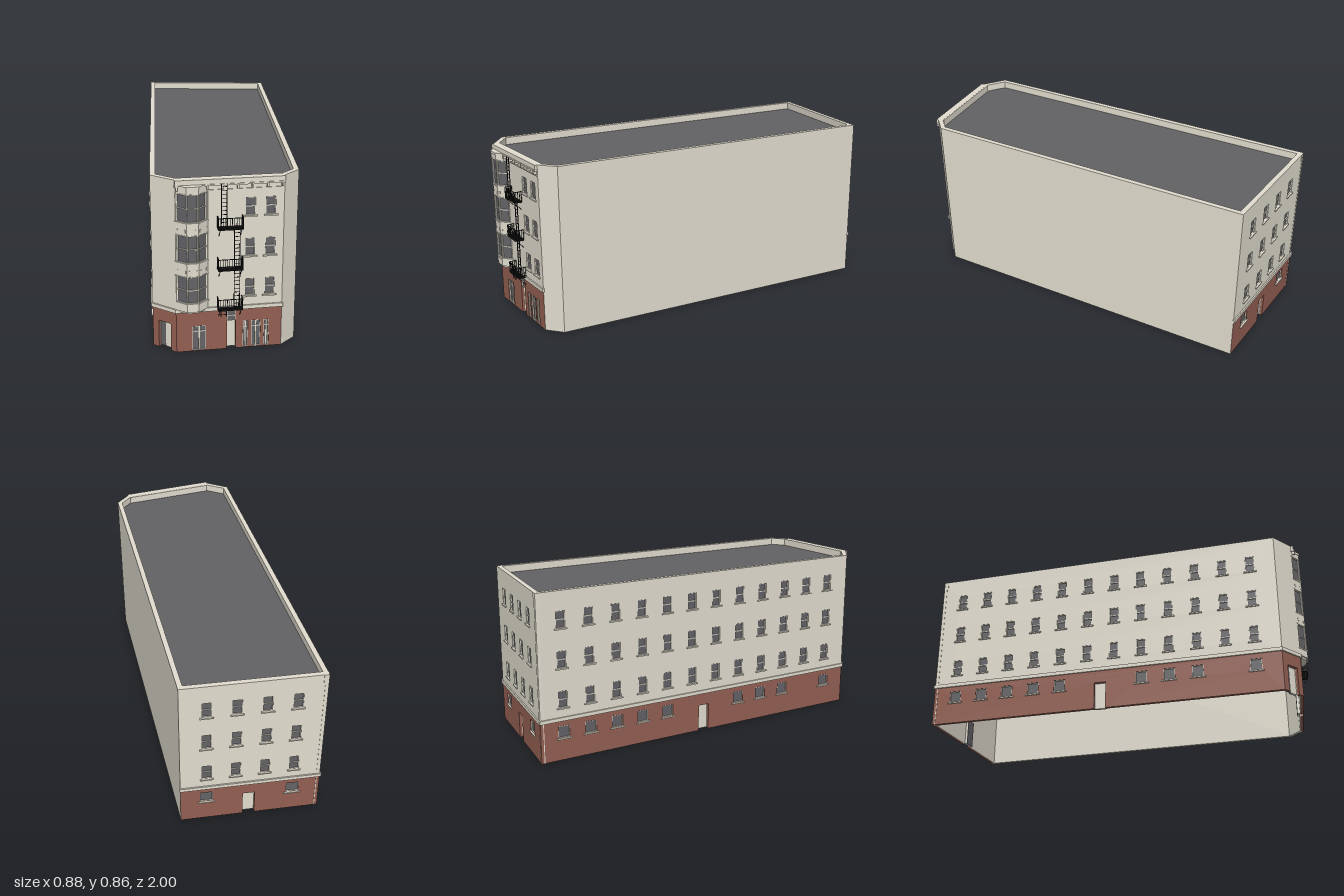
import * as THREE from 'three';

const mat = (name, color) => Object.assign(new THREE.MeshStandardMaterial({ color }), { name });
const M = {
  stone: mat('stone', 0xe2ddcf),
  brick: mat('brick', 0x935f52),
  glass: mat('glass', 0x636367),
  roof: mat('roofing', 0x626264),
  iron: mat('iron', 0x161616),
};

// Plan corners [x, z] and main heights
const A = [-0.26, -0.99], B = [0.433, -0.868], C = [0.255, 0.892];
const D = [0.175, 0.958], E = [-0.328, 0.958], F = [-0.43, 0.868];
const H = 0.863, BASE = 0.209, ROOF = 0.825, T = 0.014;
const FLOORS = [0.275, 0.478, 0.678];

function add(parent, name, geo, material) {
  const m = new THREE.Mesh(geo, material);
  m.name = name;
  parent.add(m);
  return m;
}

// Box given by its min and max corners
function box(parent, name, material, x0, x1, y0, y1, z0, z1) {
  const m = add(parent, name, new THREE.BoxGeometry(x1 - x0, y1 - y0, z1 - z0), material);
  m.position.set((x0 + x1) / 2, (y0 + y1) / 2, (z0 + z1) / 2);
  return m;
}

function holePath([x0, x1, y0, y1]) {
  return new THREE.Path().moveTo(x0, y0).lineTo(x1, y0).lineTo(x1, y1).lineTo(x0, y1).lineTo(x0, y0);
}

// Upright slab, front face at z; holes starting at y = 0 become notches in the lower edge
function panel(parent, name, material, [x0, x1, y0, y1], holes, z, depth) {
  const s = new THREE.Shape().moveTo(x0, y0);
  for (const [a, b, lo, hi] of holes)
    if (lo === 0) s.lineTo(a, y0).lineTo(a, hi).lineTo(b, hi).lineTo(b, y0);
  s.lineTo(x1, y0).lineTo(x1, y1).lineTo(x0, y1).lineTo(x0, y0);
  for (const h of holes) if (h[2] > 0) s.holes.push(holePath(h));
  const g = new THREE.ExtrudeGeometry(s, { depth, bevelEnabled: false });
  return add(parent, name, g.translate(0, 0, z - depth), material);
}

// Horizontal slab over a plan outline
function prism(parent, name, material, pts, y0, y1) {
  const s = new THREE.Shape(pts.map(([x, z]) => new THREE.Vector2(x, -z)));
  const g = new THREE.ExtrudeGeometry(s, { depth: y1 - y0, bevelEnabled: false });
  return add(parent, name, g.rotateX(-Math.PI / 2).translate(0, y0, 0), material);
}

// Local frame of a wall: x runs from P to Q, z points outwards
function wallFrame(parent, name, P, Q) {
  const g = new THREE.Group();
  const dx = Q[0] - P[0], dz = Q[1] - P[1];
  g.name = name;
  g.position.set(P[0], 0, P[1]);
  g.rotation.y = Math.atan2(-dz, dx);
  g.userData.length = Math.hypot(dx, dz);
  parent.add(g);
  return g;
}

// Recessed window: glass, frame with panes split at the given fractions, optional sill
function windowUnit(parent, [x0, x1, y0, y1], { cols = [0, 1], rows = [0, 0.5, 1], bar = 0.005, sill = true } = {}) {
  const g = new THREE.Group();
  g.name = 'window';
  parent.add(g);
  const w = x1 - x0, h = y1 - y0, panes = [];
  for (let i = 0; i < cols.length - 1; i++)
    for (let j = 0; j < rows.length - 1; j++)
      panes.push([x0 + w * cols[i] + bar / 2, x0 + w * cols[i + 1] - bar / 2,
        y0 + h * rows[j] + bar / 2, y0 + h * rows[j + 1] - bar / 2]);
  box(g, 'glass', M.glass, x0, x1, y0, y1, -0.012, -0.008);
  panel(g, 'windowFrame', M.stone, [x0, x1, y0, y1], panes, -0.003, 0.005);
  if (sill) box(g, 'sill', M.stone, x0 - 0.01, x1 + 0.01, y0 - 0.007, y0, -0.005, 0.007);
}

// Recessed door with an optional glazed transom above
function door(parent, [x0, x1, y0, y1], transom = 0) {
  const top = y1 - transom;
  box(parent, 'door', M.stone, x0, x1, y0 + 0.003, top, -0.03, -0.018);
  box(parent, 'doorBack', M.glass, x0, x1, y0 + 0.003, y1, -0.032, -0.03);
  if (transom) windowUnit(parent, [x0, x1, top, y1], { sill: false });
}

// Street wall: brick base with openings, stone above with sash windows
function streetWall(root, name, P, Q, centres, baseHoles) {
  const g = wallFrame(root, name, P, Q), L = g.userData.length;
  const upper = [];
  for (const y of FLOORS) for (const u of centres) upper.push([u - 0.0235, u + 0.0235, y, y + 0.086]);
  panel(g, 'upperWall', M.stone, [0, L, BASE, H], upper, 0, T);
  panel(g, 'brickBase', M.brick, [0, L, 0, BASE], baseHoles, 0, T);
  panel(g, 'innerLining', M.stone, [0, L, 0, ROOF], baseHoles.filter((h) => h[2] === 0), -T, 0.004);
  box(g, 'parapet', M.stone, 0, L, ROOF - 0.01, H, -0.025, -0.001);
  box(g, 'stringCourse', M.stone, -0.004, L + 0.004, 0.207, 0.226, -0.004, 0.007);
  upper.forEach((r) => windowUnit(g, r));
  return g;
}

function buildBay(root) {
  const bay = new THREE.Group();
  bay.name = 'bayWindow';
  root.add(bay);
  const outline = (o) => [[E[0] - o, 0.95], [E[0] - o, 0.958], [-0.28 - o / 2, 0.997 + o],
    [-0.225 + o / 2, 0.997 + o], [-0.177 + o, 0.958], [-0.177 + o, 0.95]];
  const p = outline(0);
  const sills = [0.268, 0.471, 0.668];
  for (let i = 1; i < 4; i++) {
    const f = wallFrame(bay, 'bayFacet', p[i], p[i + 1]), L = f.userData.length;
    const holes = sills.map((y) => [0.002, L - 0.002, y, y + 0.132]);
    panel(f, 'bayWall', M.stone, [0, L, 0.232, 0.83], holes, 0, 0.012);
    holes.forEach((r) => windowUnit(f, r, { sill: false, bar: 0.005 }));
    // Raised squares on the spandrels
    for (const y of [0.42, 0.62])
      for (const u of [0.006, L - 0.014]) box(f, 'spandrelBlock', M.stone, u, u + 0.008, y, y + 0.015, 0, 0.002);
  }
  // Ledges, foot and cap
  for (const y of sills) prism(bay, 'baySill', M.stone, outline(0.003), y - 0.007, y);
  for (const y of sills) prism(bay, 'bayHead', M.stone, outline(0.0015), y + 0.132, y + 0.137);
  prism(bay, 'bayFoot', M.stone, outline(-0.008), 0.214, 0.224);
  prism(bay, 'bayFootLedge', M.stone, outline(0), 0.224, 0.232);
  prism(bay, 'bayCap', M.stone, outline(0.003), 0.828, 0.84);
}

function buildFireEscape(root) {
  const g = new THREE.Group();
  g.name = 'fireEscape';
  root.add(g);
  const x0 = -0.135, x1 = -0.018, zw = 0.959, zf = 0.998, r = 0.0011;
  const bar = (name, a, b, c, d, e, f) => box(g, name, M.iron, a, b, c, d, e, f);
  const ladder = (a, b, y0, y1, z) => {
    for (const x of [a, b]) bar('ladderRail', x - 0.0016, x + 0.0016, y0, y1, z - 0.002, z + 0.002);
    for (let y = y0 + 0.01; y < y1; y += 0.019) bar('rung', a, b, y - r, y + r, z - r, z + r);
  };
  for (const y of [0.219, 0.422, 0.624]) {
    const top = y + 0.059;
    bar('platform', x0, x1, y, y + 0.006, zw, zf);
    for (const h of [top, y + 0.012]) {
      bar('frontRail', x0, x1, h - 0.003, h, zf - 0.003, zf);
      for (const x of [x0, x1 - 0.003]) bar('sideRail', x, x + 0.003, h - 0.003, h, zw, zf);
    }
    for (let i = 0; i <= 11; i++) {
      const x = x0 + r + ((x1 - x0 - 2 * r) * i) / 11;
      bar('baluster', x - r, x + r, y, top, zf - 0.0025, zf);
    }
    for (const x of [x0 + r, x1 - r])
      for (let i = 0; i < 4; i++) bar('sideBaluster', x - r, x + r, y, top, zw + i * 0.01, zw + i * 0.01 + 0.0024);
    // Slanted brackets back to the wall
    for (const x of [-0.127, -0.027]) {
      const b = bar('bracket', x - 0.001, x + 0.001, y - 0.047, y + 0.007, 0.977, 0.98);
      b.rotation.x = Math.atan2(zf - zw, 0.04);
    }
  }
  ladder(-0.12, -0.094, 0.63, 0.843, 0.984);
  ladder(-0.058, -0.032, 0.423, 0.625, 0.98);
  ladder(-0.058, -0.032, 0.22, 0.423, 0.98);
  ladder(-0.12, -0.094, 0.185, 0.223, 0.984);
}

export function createModel() {
  const root = new THREE.Group();
  root.name = 'cornerBuilding';

  // Front wall: shop windows, entrance and cornice
  const fx = (a, b, y0, y1) => [a - E[0], b - E[0], y0, y1];
  const shop = [fx(-0.252, -0.187, 0.003, 0.131), fx(-0.011, 0.013, 0.003, 0.142),
    fx(0.029, 0.074, 0.003, 0.142), fx(0.089, 0.114, 0.003, 0.142)];
  const entry = fx(-0.088, -0.046, 0, 0.2);
  const front = streetWall(root, 'frontWall', E, D, [0.3465, 0.4415], [...shop, entry]);
  shop.forEach((r) => windowUnit(front, r, { cols: [0, 0.5, 1], rows: [0, 0.78, 1], bar: 0.0055, sill: false }));
  door(front, entry, 0.053);
  const L = front.userData.length;
  box(front, 'cornice', M.stone, 0, L, 0.838, H, -0.016, 0.013);
  box(front, 'corniceLip', M.stone, -0.003, L + 0.001, 0.832, 0.84, -0.01, 0.016);
  box(front, 'frieze', M.stone, 0, L, 0.805, 0.81, -0.005, 0.004);
  for (const x of [-0.32, -0.18, -0.112, -0.042, 0.025, 0.095, 0.163])
    box(front, 'corniceBracket', M.stone, x - E[0] - 0.004, x - E[0] + 0.004, 0.816, 0.837, -0.002, 0.018);
  box(front, 'frontParapet', M.stone, 0.01, L - 0.01, ROOF, H - 0.0005, -0.03, -0.01);

  // Corner wall with recessed door and side light
  const corner = streetWall(root, 'cornerWall', F, E, [], [[0.034, 0.104, 0, 0.142]]);
  box(corner, 'doorGlass', M.glass, 0.034, 0.062, 0.003, 0.142, -0.021, -0.018);
  door(corner, [0.062, 0.104, 0, 0.142]);

  // Long left wall: twelve windows per floor, small base windows and a door
  const len = Math.hypot(F[0] - A[0], F[1] - A[1]);
  const slot = (i) => len * (0.066 + 0.0785 * i);
  const low = (u, w = 0.06) => [u - w / 2, u + w / 2, 0.117, 0.179];
  const sideLow = [0, 1, 2, 3, 4, 7, 8, 9, 11].map((i) => low(slot(i)));
  const sideDoor = [slot(5.5) - 0.03, slot(5.5) + 0.03, 0, 0.142];
  const side = streetWall(root, 'leftSideWall', A, F, Array.from({ length: 12 }, (_, i) => slot(i)), [...sideLow, sideDoor]);
  sideLow.forEach((r) => windowUnit(side, r, { rows: [0, 1] }));
  door(side, sideDoor);

  // Back wall
  const bl = Math.hypot(A[0] - B[0], A[1] - B[1]);
  const at = [0.186, 0.392, 0.598, 0.805].map((f) => f * bl);
  const backLow = [low(at[0], 0.065), low(at[3], 0.065)];
  const backDoor = [0.49 * bl - 0.03, 0.49 * bl + 0.03, 0, 0.142];
  const back = streetWall(root, 'backWall', B, A, at, [...backLow, backDoor]);
  backLow.forEach((r) => windowUnit(back, r, { rows: [0, 1] }));
  door(back, backDoor);

  // Plain party wall and its chamfer
  for (const [name, P, Q] of [['partyWall', C, B], ['partyChamfer', D, C]]) {
    const g = wallFrame(root, name, P, Q);
    panel(g, 'plainWall', M.stone, [0, g.userData.length, 0, H], [], 0, 0.018);
    box(g, 'parapet', M.stone, 0, g.userData.length, ROOF - 0.01, H, -0.025, -0.001);
  }

  // Flat roof sunk behind the parapet
  const inset = [A, B, C, D, E, F].map(([x, z]) => [x * 0.97, z * 0.985]);
  prism(root, 'roof', M.roof, inset, ROOF - 0.01, ROOF);

  buildBay(root);
  buildFireEscape(root);
  return root;
}
